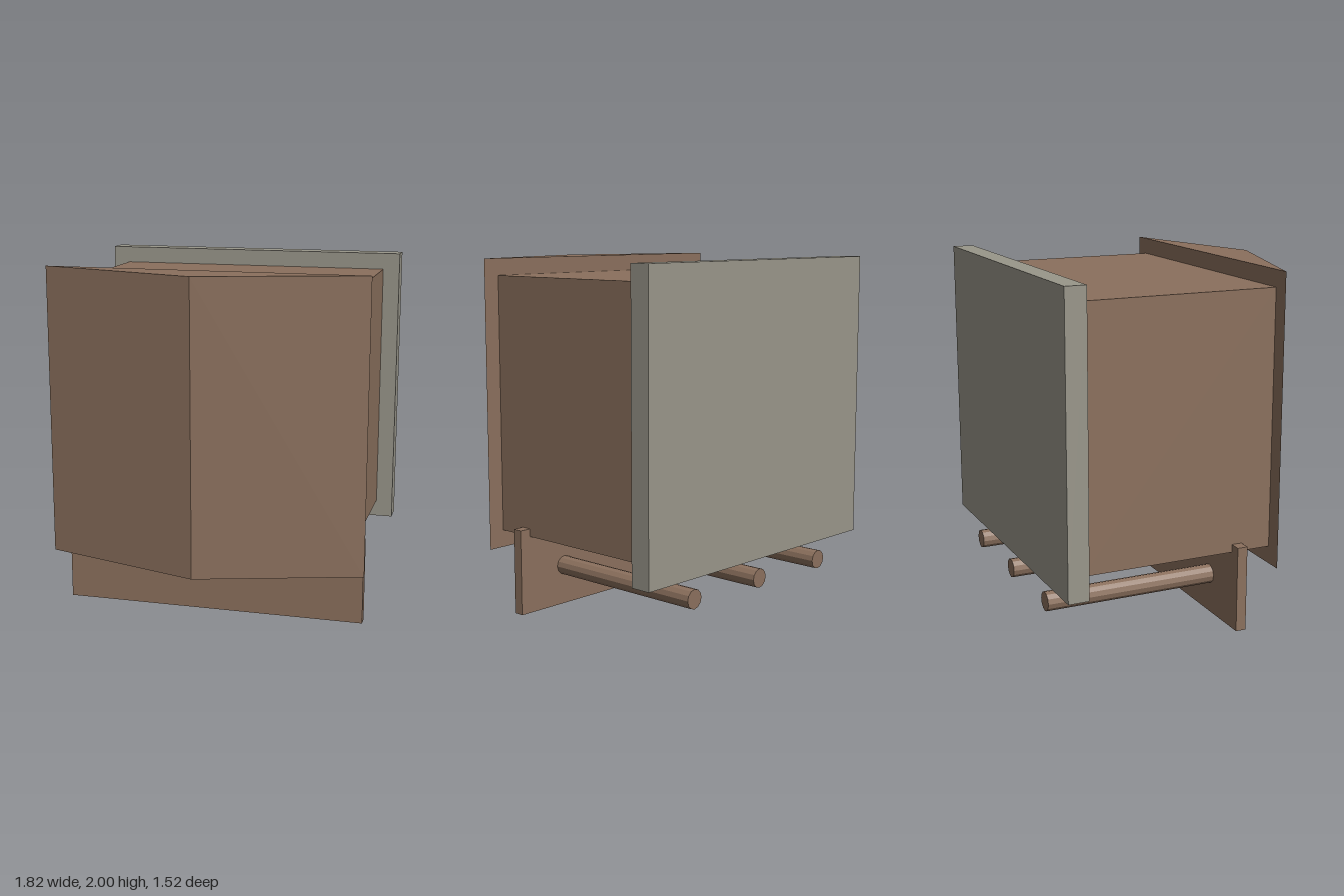
import * as THREE from 'three';

export function createModel() {
  const model = new THREE.Group();
  const mat = (name, color) => {
    const m = new THREE.MeshStandardMaterial({ color, flatShading: true });
    m.name = name;
    return m;
  };
  const brown = mat('brown wood', 0x8b705d);
  const grey = mat('grey panel', 0x99968a);
  const tan = mat('pale wood', 0xa09268);

  const add = (name, geometry, material, x, y, z) => {
    const mesh = new THREE.Mesh(geometry, material);
    mesh.name = name;
    mesh.position.set(x, y, z);
    model.add(mesh);
    return mesh;
  };
  // Box centred on x, given its extents in y and z
  const box = (name, material, width, y0, y1, z0, z1) =>
    add(name, new THREE.BoxGeometry(width, y1 - y0, z1 - z0), material, 0, (y0 + y1) / 2, (z0 + z1) / 2);

  // Main body and rear slab
  box('body', brown, 1.62, 0.445, 1.905, -0.645, 0.485);
  box('backPanel', grey, 1.815, 0.345, 2, -0.765, -0.645);

  // Pointed front: a triangle in plan, raised to full height
  const plan = new THREE.Shape([
    new THREE.Vector2(-0.908, -0.485),
    new THREE.Vector2(0, -0.76),
    new THREE.Vector2(0.908, -0.485),
  ]);
  const wedge = new THREE.ExtrudeGeometry(plan, { depth: 1.655, bevelEnabled: false });
  wedge.rotateX(-Math.PI / 2);
  add('frontWedge', wedge, brown, 0, 0.345, 0);

  // Lower board and cross plank
  box('lowerBoard', brown, 1.755, 0, 0.49, 0.25, 0.31);
  box('crossPlank', tan, 1.13, 0.37, 0.43, 0.055, 0.215);

  // Three rods running back from the lower board
  const rod = new THREE.CylinderGeometry(0.055, 0.055, 1.015, 12);
  rod.rotateX(Math.PI / 2);
  for (const x of [-0.55, 0, 0.55]) add('rod', rod, brown, x, 0.23, -0.2525);

  return model;
}
